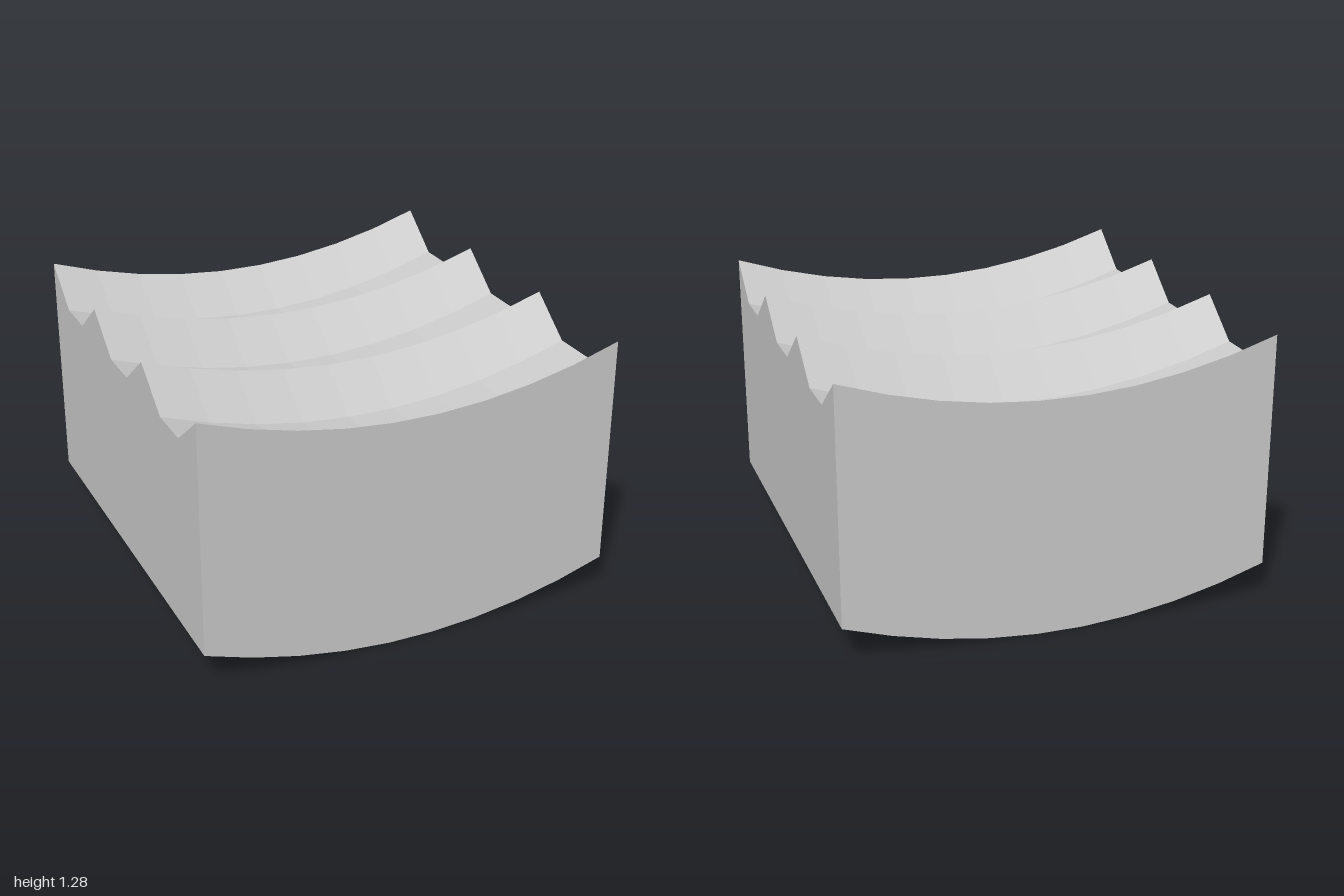
import * as THREE from 'three';

const HEIGHT = 1.107; // block height from bottom to ridge
const DEPTH = 0.167;  // groove depth
const SEGMENTS = 9;   // facets across the curve
const GROOVES = 3;

// Side profile: flat base, three flat-bottomed grooves between sharp ridges
function grooveProfile() {
  const shape = new THREE.Shape();
  const step = 2 / (GROOVES * 3);
  shape.moveTo(-1, 0);
  shape.lineTo(1, 0);
  for (let i = 0; i <= GROOVES * 3; i++) {
    shape.lineTo(1 - i * step, i % 3 === 0 ? HEIGHT : HEIGHT - DEPTH);
  }
  shape.closePath();
  return shape;
}

// Parabolic sag across the width, zero at the flat middle facet
const sag = (x) => 0.18 * (x * x - 1 / (SEGMENTS * SEGMENTS));

export function createModel() {
  const group = new THREE.Group();
  group.name = 'curvedGroovedBlock';

  // Extrude the profile across x, then bend it downwards in the middle
  const geometry = new THREE.ExtrudeGeometry(grooveProfile(), {
    depth: 2, steps: SEGMENTS, bevelEnabled: false,
  });
  geometry.translate(0, 0, -1);
  geometry.rotateY(Math.PI / 2);
  const pos = geometry.attributes.position;
  for (let i = 0; i < pos.count; i++) {
    pos.setY(i, pos.getY(i) + sag(pos.getX(i)));
  }
  geometry.computeVertexNormals();

  const material = new THREE.MeshStandardMaterial({ color: 0xcccccc, flatShading: true });
  const block = new THREE.Mesh(geometry, material);
  block.name = 'groovedBlock';
  group.add(block);
  return group;
}
